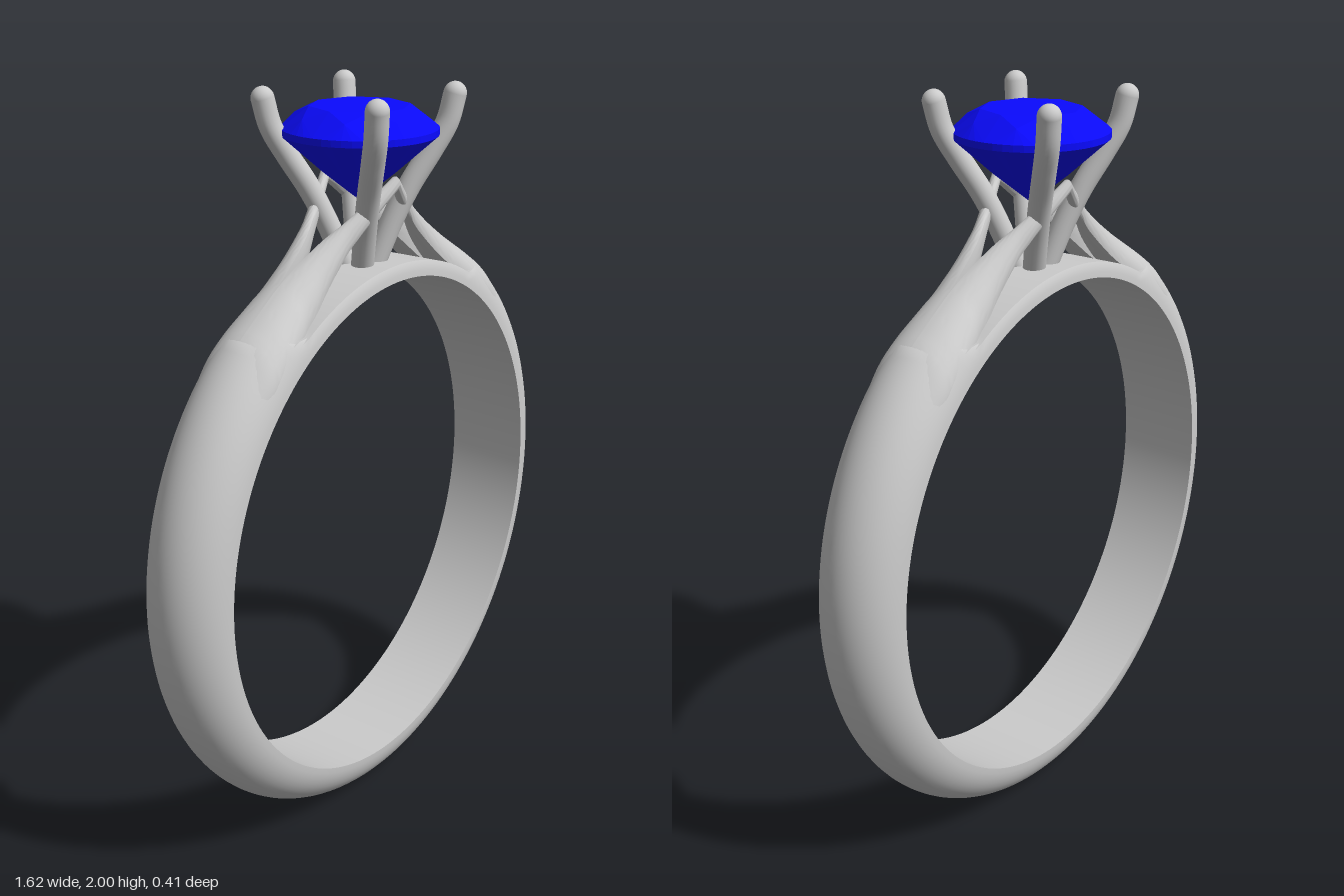
import * as THREE from 'three';
import { toCreasedNormals } from 'three/addons/utils/BufferGeometryUtils.js';
import { ConvexGeometry } from 'three/addons/geometries/ConvexGeometry.js';

const CENTER_Y = 0.815, R_IN = 0.692, HALF_W = 0.12, DEPTH = 0.12;

// Skin a list of closed cross-sections; flip reverses the winding
function loft(rings, loop, flip) {
  const n = rings[0].length, pos = [], idx = [];
  rings.forEach(r => r.forEach(p => pos.push(p[0], p[1], p[2])));
  const last = loop ? rings.length : rings.length - 1;
  for (let i = 0; i < last; i++) {
    const i2 = (i + 1) % rings.length;
    for (let j = 0; j < n; j++) {
      const j2 = (j + 1) % n;
      const a = i * n + j, b = i * n + j2, c = i2 * n + j2, d = i2 * n + j;
      if (flip) idx.push(a, c, b, a, d, c);
      else idx.push(a, b, c, a, c, d);
    }
  }
  const g = new THREE.BufferGeometry();
  g.setAttribute('position', new THREE.Float32BufferAttribute(pos, 3));
  g.setIndex(idx);
  return toCreasedNormals(g, 0.6);
}

// D-shaped band, cut down to a thin bridge under the setting
function bandGeometry() {
  const rings = [], steps = 180, arc = 24;
  for (let i = 0; i < steps; i++) {
    const t = (i / steps) * Math.PI * 2 - Math.PI; // 0 = top
    const k = THREE.MathUtils.smoothstep(Math.abs(t), 0.52, 0.67);
    const cap = THREE.MathUtils.lerp(0.038, DEPTH, k);
    const ring = [];
    const add = (r, z) => ring.push([Math.sin(t) * r, CENTER_Y + Math.cos(t) * r, z]);
    for (let j = 0; j <= arc; j++) {
      const b = (j / arc) * Math.PI;
      add(R_IN + 0.003 + Math.min(cap, DEPTH * Math.sin(b) - 0.003), HALF_W * Math.cos(b));
    }
    rings.push(ring);
  }
  return loft(rings, true, true);
}

// Stations of one shoulder strand: x, top y, bottom y, inner z, outer z, roundness
const STRAND = [
  [0.56, 1.39, 1.29, 0, 0.105, 0],
  [0.50, 1.452, 1.345, 0, 0.112, 0],
  [0.45, 1.487, 1.385, 0, 0.11, 0],
  [0.36, 1.545, 1.447, 0, 0.095, 0],
  [0.286, 1.592, 1.497, 0.006, 0.083, 0.1],
  [0.20, 1.645, 1.567, 0.021, 0.078, 0.4],
  [0.12, 1.695, 1.635, 0.05, 0.088, 0.8],
  [0, 1.78, 1.745, 0.095, 0.125, 1],
];

// A strand goes from a quarter-round section to an ellipse
function strandGeometry(sx, sz) {
  const rings = [], n = 32;
  const curves = [0, 2, 4].map(k => new THREE.CatmullRomCurve3(
    STRAND.map(s => new THREE.Vector3(s[k], s[k + 1], 0))));
  for (let i = 0; i <= 40; i++) {
    const [p, q, w] = curves.map(c => c.getPoint(i / 40));
    const x = Math.max(0, p.x), top = p.y, low = q.x, zin = Math.max(0, q.y), zout = w.x;
    const m = THREE.MathUtils.clamp(w.y, 0, 1);
    const ring = [];
    for (let j = 0; j < n; j++) {
      const f = j / n, a = f * Math.PI * 2 - Math.PI / 4;
      let u = 0, v = 0;
      if (f <= 0.5) { u = Math.cos(f * Math.PI); v = Math.sin(f * Math.PI); }
      else if (f <= 0.75) v = 1 - (f - 0.5) * 4;
      else u = (f - 0.75) * 4;
      u = THREE.MathUtils.lerp(u, 0.5 + 0.5 * Math.cos(a), m);
      v = THREE.MathUtils.lerp(v, 0.5 + 0.5 * Math.sin(a), m);
      ring.push([sx * x, low + (top - low) * v, sz * (zin + (zout - zin) * u)]);
    }
    rings.push(ring);
  }
  return loft(rings, false, sx * sz < 0);
}

// Round brilliant: table, crown, girdle, pavilion and point
function gemGeometry() {
  const pts = [new THREE.Vector3(0, 1.705, 0)];
  const ring = (n, r, y, off = 0) => {
    for (let i = 0; i < n; i++) {
      const a = ((i + off) / n) * Math.PI * 2;
      pts.push(new THREE.Vector3(Math.cos(a) * r, y, Math.sin(a) * r));
    }
  };
  ring(8, 0.13, 1.948);
  ring(8, 0.168, 1.926, 0.5);
  ring(48, 0.202, 1.893);
  ring(48, 0.202, 1.876);
  ring(16, 0.1, 1.785, 0.5);
  return new ConvexGeometry(pts);
}

export function createModel() {
  const group = new THREE.Group();
  const metal = new THREE.MeshStandardMaterial({ color: 0xcccccc });
  const blue = new THREE.MeshStandardMaterial({ color: 0x0a0aff });
  const add = (name, geo, mat, parent = group) => {
    const m = new THREE.Mesh(geo, mat);
    m.name = name;
    parent.add(m);
    return m;
  };

  add('band', bandGeometry(), metal);

  // Split shoulders rising from the band to meet front and back
  for (const sx of [1, -1]) for (const sz of [1, -1]) {
    add('shoulderStrand', strandGeometry(sx, sz), metal);
  }

  // Four curved claws with rounded tips
  const profile = [[0.025, 1.53], [0.06, 1.65], [0.092, 1.74], [0.132, 1.83], [0.16, 1.9], [0.173, 1.97]];
  for (const sx of [1, -1]) for (const sz of [1, -1]) {
    const claw = new THREE.Group();
    claw.name = 'claw';
    const path = new THREE.CatmullRomCurve3(profile.map(([d, y]) => new THREE.Vector3(sx * d, y, sz * d)));
    add('clawStem', new THREE.TubeGeometry(path, 40, 0.03, 20), metal, claw);
    add('clawTip', new THREE.SphereGeometry(0.03, 20, 14), metal, claw).position.set(sx * 0.173, 1.97, sz * 0.173);
    group.add(claw);
  }

  add('gem', gemGeometry(), blue);
  return group;
}
